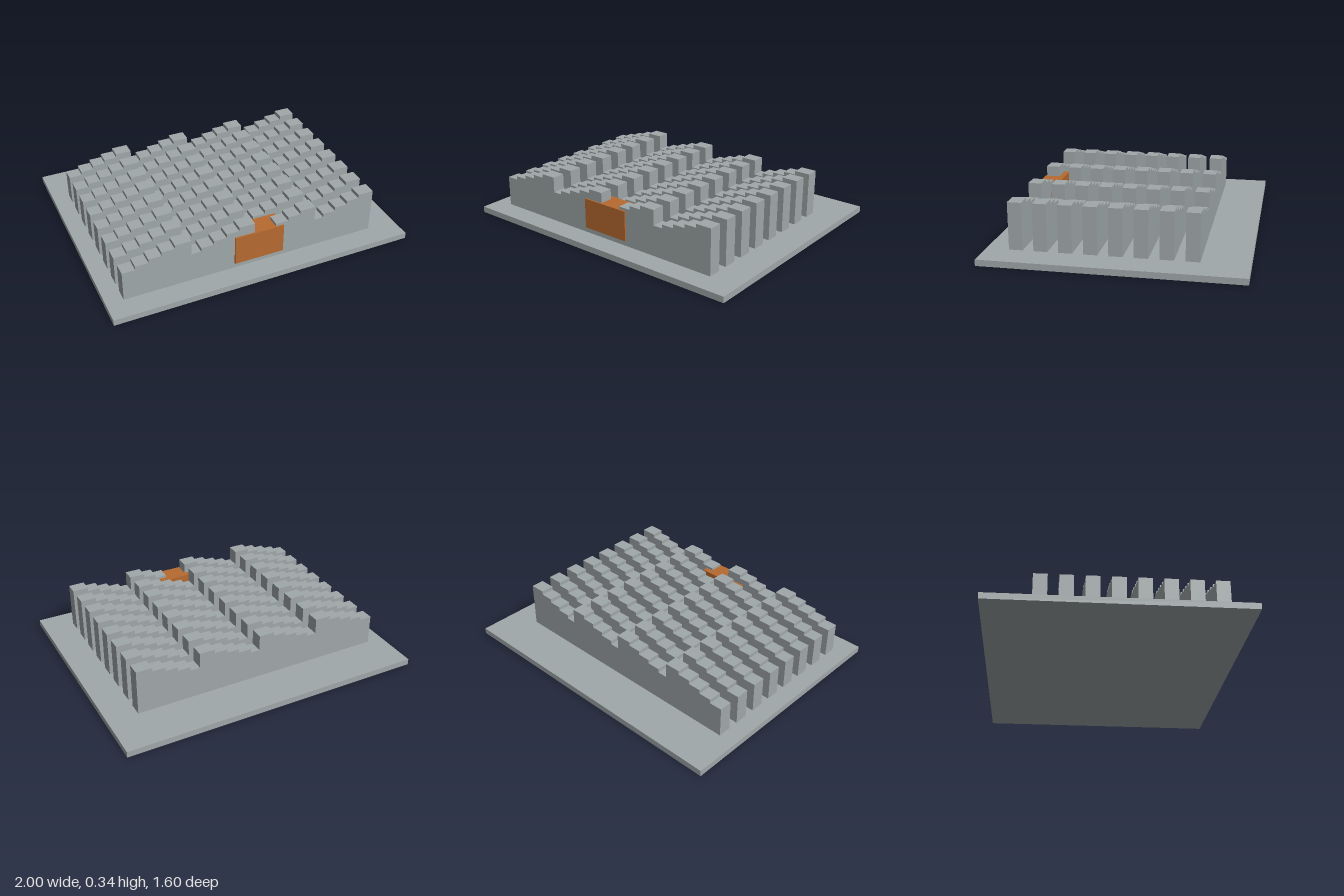
import * as THREE from 'three';

const ROWS = 8, COLUMNS = 20, CYCLE = 5;
const BASE_TOP = 0.04, PITCH = 0.0835, LEFT = -0.888, RIGHT = 0.803;
const OVERLAP = 0.021; // tallest column of each cycle reaches into the next one
const ROW_DEPTH = 0.086, ROW_PITCH = 0.1535, FRONT_ROW_Z = 0.613;

function material(name, color) {
  const m = new THREE.MeshStandardMaterial({ color });
  m.name = name;
  return m;
}

function box(name, mat, w, h, d, x, y, z) {
  const mesh = new THREE.Mesh(new THREE.BoxGeometry(w, h, d), mat);
  mesh.name = name;
  mesh.position.set(x, y, z);
  return mesh;
}

// Stepped outline of one row: five rising steps, repeated
function rowGeometry() {
  const shape = new THREE.Shape();
  shape.moveTo(LEFT, BASE_TOP);
  let x = LEFT;
  for (let i = 0; i < COLUMNS; i++) {
    const step = i % CYCLE;
    const y = 0.24 + step * 0.025;
    shape.lineTo(x, y);
    x = LEFT + (i + 1) * PITCH + (step === CYCLE - 1 ? OVERLAP : 0);
    if (i === COLUMNS - 1) x = RIGHT;
    shape.lineTo(x, y);
  }
  shape.lineTo(RIGHT, BASE_TOP);
  shape.closePath();
  const geometry = new THREE.ExtrudeGeometry(shape, { depth: ROW_DEPTH, bevelEnabled: false });
  return geometry.translate(0, 0, -ROW_DEPTH / 2);
}

export function createModel() {
  const grey = material('steel grey', 0xa0a8aa);
  const orange = material('burnt orange', 0xb86a30);
  const model = new THREE.Group();
  model.name = 'steppedRows';

  // Ground slab
  model.add(box('baseSlab', grey, 2, BASE_TOP, 1.6, 0, BASE_TOP / 2, 0));

  // Parallel rows of stepped columns
  const geometry = rowGeometry();
  for (let r = 0; r < ROWS; r++) {
    const row = new THREE.Mesh(geometry, grey);
    row.name = `columnRow${r + 1}`;
    row.position.z = FRONT_ROW_Z - r * ROW_PITCH;
    model.add(row);
  }

  // Coloured block set into the front row
  model.add(box('frontBlock', orange, 0.33, 0.198, 0.134, 0, 0.174, 0.599));
  return model;
}
